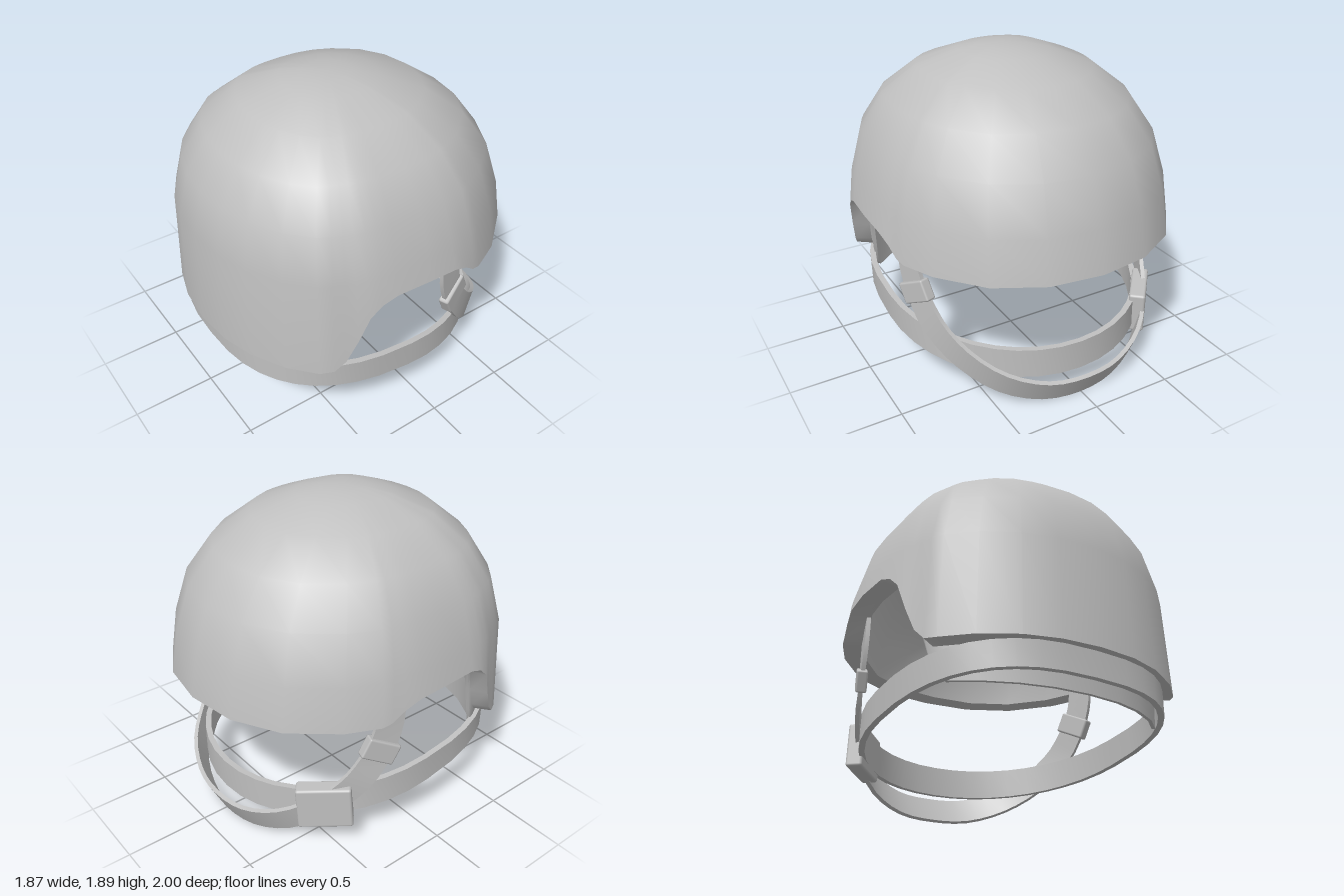
import * as THREE from 'three';
import { mergeVertices, mergeGeometries } from 'three/addons/utils/BufferGeometryUtils.js';
import { RoundedBoxGeometry } from 'three/addons/geometries/RoundedBoxGeometry.js';

const V = (x, y, z) => new THREE.Vector3(x, y, z);

// Smooth surface through rows of points (top to bottom, left to right seen from its face)
function grid(rows, closed = false, flip = false) {
  const n = rows[0].length, index = [];
  for (let r = 0; r < rows.length - 1; r++) {
    for (let c = 0; c < (closed ? n : n - 1); c++) {
      const c2 = (c + 1) % n;
      const a = r * n + c, b = r * n + c2, d = a + n, e = b + n;
      if (flip) index.push(a, e, d, a, b, e);
      else index.push(a, d, e, a, e, b);
    }
  }
  let geo = new THREE.BufferGeometry().setFromPoints(rows.flat());
  geo.setIndex(index);
  geo = mergeVertices(geo, 1e-5);
  geo.computeVertexNormals();
  return geo;
}

// Local axes of a strap: along, across (up) and outward
function frame(t, outward) {
  const along = t.clone().normalize();
  const across = outward.clone().cross(along).normalize();
  return { along, across, out: along.clone().cross(across) };
}

// Flat strap of rectangular section along a path
function strap(points, outwardAt, widthAt, thick, closed) {
  const n = points.length, corners = [[], [], [], []];
  points.forEach((p, i) => {
    const prev = points[closed ? (i + n - 1) % n : Math.max(i - 1, 0)];
    const next = points[closed ? (i + 1) % n : Math.min(i + 1, n - 1)];
    const f = frame(next.clone().sub(prev), outwardAt(p)), w = widthAt(p) / 2;
    [[1, 1], [-1, 1], [-1, -1], [1, -1]].forEach(([u, o], k) => corners[k].push(
      p.clone().addScaledVector(f.across, u * w).addScaledVector(f.out, o * thick / 2)));
  });
  const parts = corners.map((c, k) => grid([c, corners[(k + 1) % 4]], closed));
  if (!closed) {
    const [a, b, c, d] = corners, e = n - 1;
    parts.push(grid([[d[0], a[0]], [c[0], b[0]]]), grid([[a[e], d[e]], [b[e], c[e]]]));
  }
  return mergeGeometries(parts);
}

// Shell rim on the left side, front to back: x, y, z and the lining's lower edge where it hangs down
const rim = [[0, 0.53, 1, 0.315], [0.23, 0.53, 0.98, 0.316], [0.43, 0.53, 0.92, 0.32],
  [0.63, 0.527, 0.81, 0.328], [0.775, 0.525, 0.68, 0.338], [0.815, 0.535, 0.61, 0.4],
  [0.842, 0.6, 0.55, 0.56], [0.87, 0.74, 0.49], [0.895, 0.9, 0.43], [0.908, 0.965, 0.36],
  [0.922, 1, 0.27], [0.935, 1, 0.05], [0.928, 0.985, -0.13], [0.91, 0.94, -0.23],
  [0.895, 0.885, -0.3], [0.88, 0.868, -0.36], [0.79, 0.866, -0.55], [0.583, 0.868, -0.8],
  [0.31, 0.872, -0.95], [0, 0.878, -1]];
// Dome levels: height and horizontal scale
const levels = [[1.89, 0], [1.882, 0.14], [1.857, 0.28], [1.77, 0.53], [1.61, 0.745], [1.4, 0.89], [1.13, 0.968]];

function shellGeometry() {
  const side = rim.map(([x, y, z, low = y]) => ({ x, y, z, low }));
  const columns = [...side, ...side.slice(1, -1).reverse().map(c => ({ ...c, x: -c.x }))];
  const dome = (k, inset) => levels.map(([y, s]) => columns.map(c => {
    const drop = inset * (y - c.y) / (1.89 - c.y);
    return V(c.x * s * k, y - drop, c.z * s * k + 0.09 * Math.pow(1 - s, 0.6));
  }));
  const edge = (k, key) => columns.map(c => V(c.x * k, c[key], c.z * k));
  const outerEdge = edge(1, 'y'), step = edge(0.895, 'y');
  const liningOuter = edge(0.885, 'low'), liningInner = edge(0.865, 'low');
  return mergeGeometries([
    grid([...dome(1, 0), outerEdge], true),
    grid([outerEdge, step], true),
    grid([step, liningOuter], true),
    grid([liningOuter, liningInner], true),
    grid([...dome(0.87, 0.11), edge(0.868, 'y'), liningInner], true, true)]);
}

// Point on the tilted head band, phi measured from the front
function bandPoint(phi) {
  const n = Math.cos(phi) > 0 ? 2.6 : 2.05;
  const pw = v => Math.sign(v) * Math.pow(Math.abs(v), 2 / n);
  const z = 0.065 + 0.875 * pw(Math.cos(phi));
  return V(0.803 * pw(Math.sin(phi)), 0.346 + 0.113 * z, z);
}

export function createModel() {
  const model = new THREE.Group();
  const grey = new THREE.MeshStandardMaterial({ color: 0xc0c0c0 });
  grey.name = 'plain grey';
  const add = (name, geo) => {
    const mesh = new THREE.Mesh(geo, grey);
    mesh.name = name;
    model.add(mesh);
    return mesh;
  };
  const orient = (mesh, p, f) => {
    mesh.quaternion.setFromRotationMatrix(new THREE.Matrix4().makeBasis(f.along, f.across, f.out));
    mesh.position.copy(p);
  };

  // Shell with its lining
  add('shell', shellGeometry());

  // Head band, slightly taller at the back
  const radial = p => V(p.x, 0, p.z - 0.065);
  const ring = Array.from({ length: 40 }, (_, i) => bandPoint(i / 40 * Math.PI * 2));
  add('headBand', strap(ring, radial, p => 0.168 - 0.019 * p.z, 0.035, true));

  // Chin strap from one side of the shell to the other
  const half = [V(0.79, 1.02, -0.22), V(0.79, 0.8, -0.225), V(0.775, 0.63, -0.28), V(0.73, 0.44, -0.4),
    V(0.63, 0.285, -0.565), V(0.465, 0.165, -0.73), V(0.24, 0.09, -0.83)];
  const path = new THREE.CatmullRomCurve3([...half, V(0, 0.077, -0.865),
    ...half.map(p => V(-p.x, p.y, p.z)).reverse()]);
  const outward = p => V(p.x, Math.min(0, p.y - 0.5), p.z);
  add('chinStrap', strap(path.getPoints(42), outward, () => 0.17, 0.025, false));

  // Strap sliders, one on each side
  for (const [name, i] of [['leftSlider', 2], ['rightSlider', 12]]) {
    const u = i / 14, p = path.getPoint(u);
    const slider = add(name, new RoundedBoxGeometry(0.13, 0.21, 0.065, 1, 0.012));
    orient(slider, p, frame(path.getTangent(u), outward(p)));
  }

  // Main buckle where chin strap and band cross
  const buckle = add('buckle', new RoundedBoxGeometry(0.32, 0.265, 0.1, 2, 0.015));
  orient(buckle, V(-0.62, 0.28, -0.55), frame(V(-0.66, 0.06, 0.75), V(-0.75, 0, -0.66)));

  return model;
}
